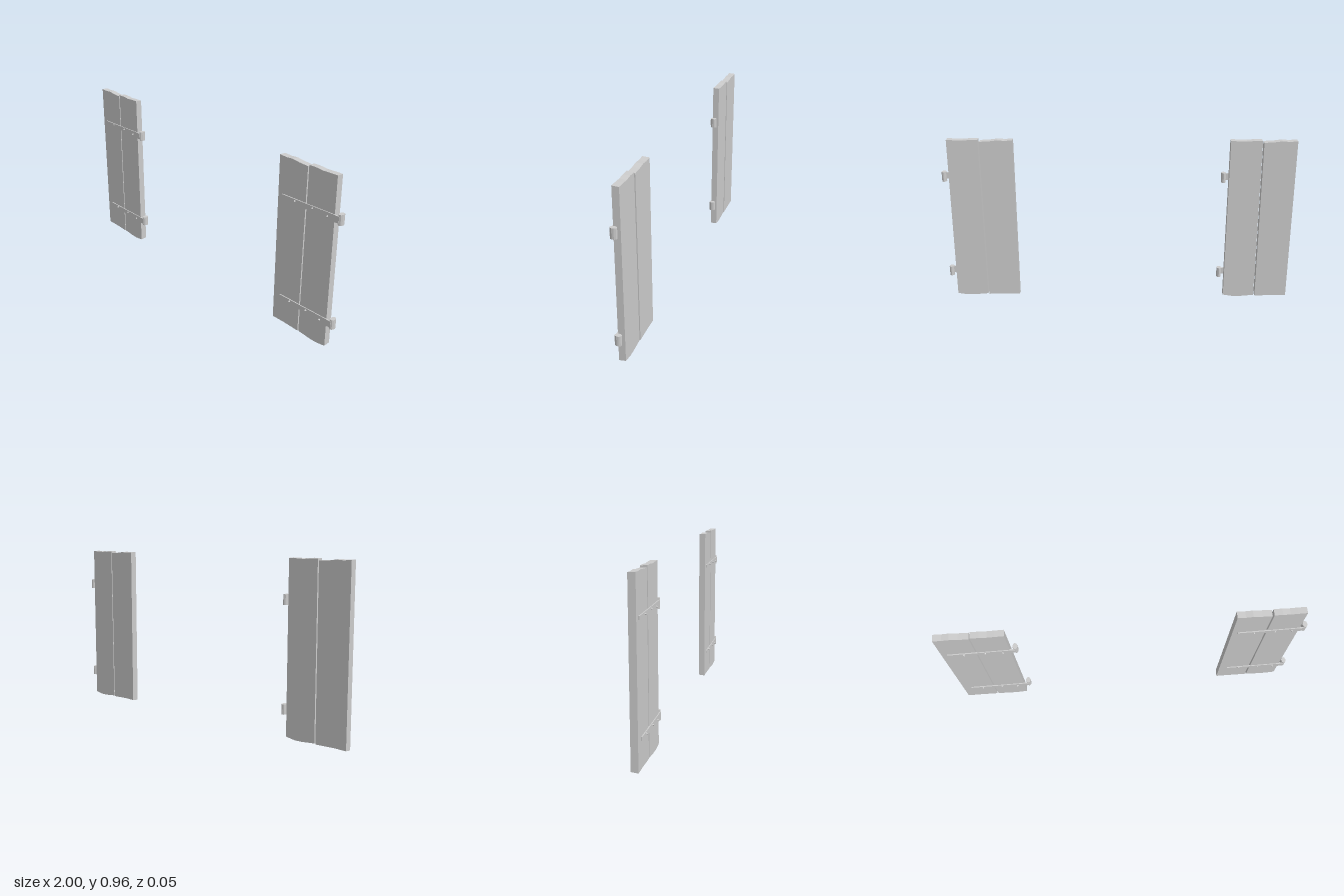
import * as THREE from 'three';

const mat = new THREE.MeshStandardMaterial({ color: 0xcccccc, flatShading: true });

function add(parent, geometry, name) {
  const mesh = new THREE.Mesh(geometry, mat);
  mesh.name = name;
  parent.add(mesh);
  return mesh;
}

// Extrude an outline of [x, y] points between two depths
function slab(points, zBack, zFront) {
  const shape = new THREE.Shape(points.map(([x, y]) => new THREE.Vector2(x, y)));
  const g = new THREE.ExtrudeGeometry(shape, { depth: zFront - zBack, bevelEnabled: false });
  return g.translate(0, 0, zBack);
}

// Plank with worn, uneven ends; the back of the lower end is chamfered upwards
function plank(bottom, top, zBack, zFront) {
  const g = slab([...bottom, ...top.slice().reverse()], zBack, zFront);
  const p = g.attributes.position;
  for (let i = 0; i < p.count; i++) {
    if (p.getZ(i) < 0) p.setY(i, p.getY(i) + (p.getY(i) < 0.5 ? 0.004 : -0.002));
  }
  g.computeVertexNormals();
  return g;
}

// Tapered strap hinge with nails and a barrel; x = 0 is the barrel axis
function hinge(tip, tilt) {
  const group = new THREE.Group();
  group.name = 'hinge';
  add(group, slab([
    [tip, -0.008 + tilt], [-0.2, -0.014 + tilt / 2], [-0.035, -0.02],
    [-0.012, -0.018], [0, -0.018], [0, 0.018], [-0.012, 0.018],
    [-0.035, 0.019], [-0.2, 0.014 + tilt / 2], [tip, 0.01 + tilt],
  ], 0.01, 0.018), 'strap');
  const barrel = add(group, new THREE.CylinderGeometry(1, 1, 0.056, 10), 'barrel');
  barrel.scale.set(0.0135, 1, 0.0185);
  barrel.position.z = -0.002;
  [[-0.28, 0.002], [-0.165, 0.004], [-0.07, -0.004]].forEach(([x, y]) => {
    const nail = add(group, new THREE.CylinderGeometry(0.003, 0.006, 0.009, 6), 'nail');
    nail.rotation.x = Math.PI / 2;
    nail.position.set(x, y + tilt * x / tip, 0.0215);
  });
  return group;
}

function shutter() {
  const group = new THREE.Group();
  group.name = 'shutter';
  add(group, plank(
    [[-1, 0.008], [-0.93, 0.009], [-0.87, 0.007], [-0.818, 0.005]],
    [[-1, 0.955], [-0.955, 0.952], [-0.915, 0.955], [-0.87, 0.949], [-0.814, 0.946]],
    -0.026, 0.012), 'outerPlank');
  add(group, plank(
    [[-0.81, 0.008], [-0.775, 0.005], [-0.735, 0.001], [-0.69, 0], [-0.66, 0.004], [-0.63, 0.009]],
    [[-0.806, 0.956], [-0.76, 0.956], [-0.72, 0.952], [-0.68, 0.954], [-0.63, 0.955]],
    -0.024, 0.013), 'hingePlank');
  [[0.737, -0.37, 0.004], [0.154, -0.352, 0.006]].forEach(([y, tip, tilt]) => {
    const h = hinge(tip, tilt);
    h.position.set(-0.6, y, 0);
    group.add(h);
  });
  return group;
}

export function createModel() {
  const model = new THREE.Group();
  model.name = 'windowShutters';
  // Two identical shutters standing apart
  [0, 1.585].forEach((x) => {
    const s = shutter();
    s.position.x = x;
    model.add(s);
  });
  return model;
}
